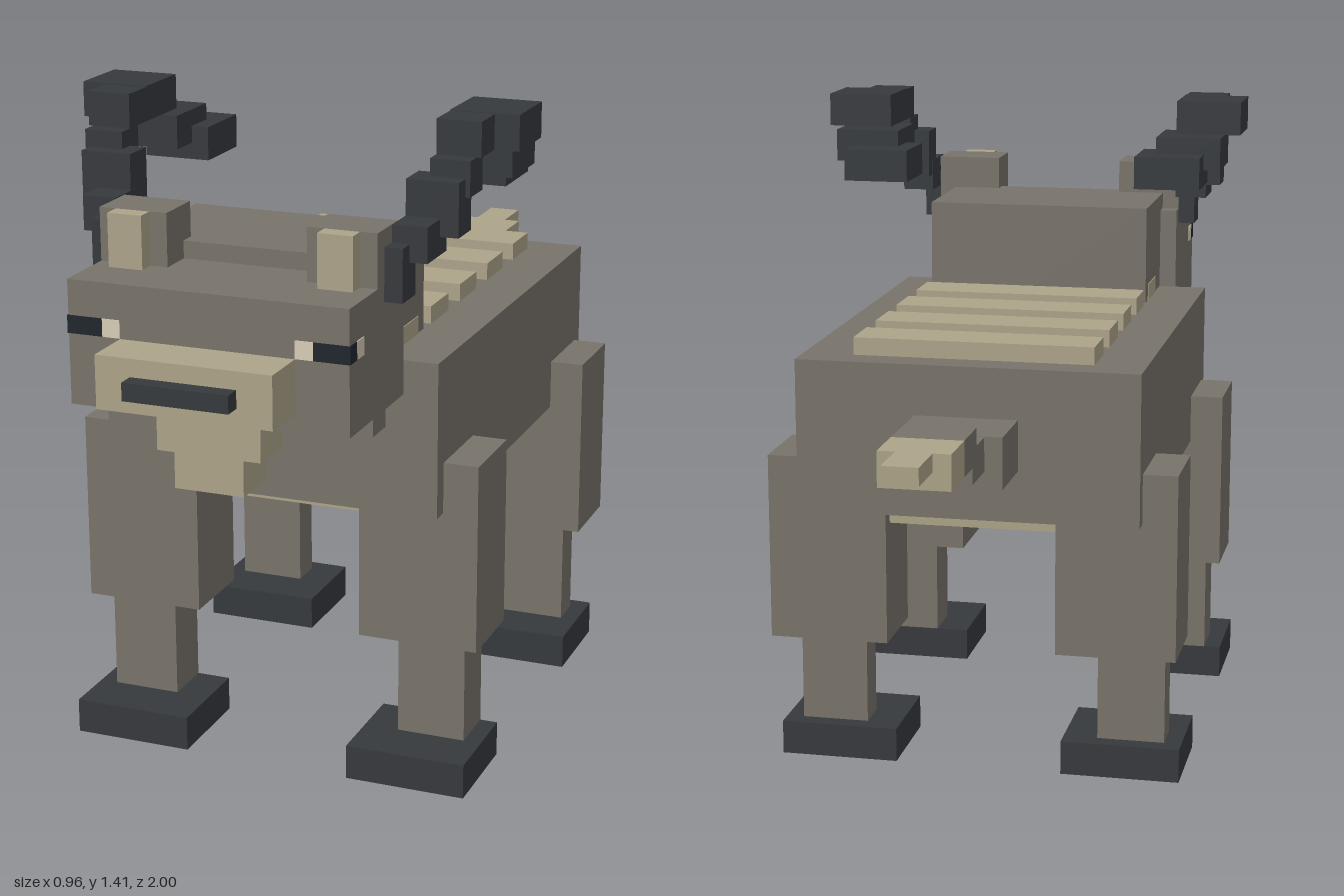
import * as THREE from 'three';

const paint = (color) => new THREE.MeshStandardMaterial({ color, flatShading: true });

export function createModel() {
  const model = new THREE.Group();
  model.name = 'hornedGoat';
  const fur = paint(0x78736a), tan = paint(0xaca388), dark = paint(0x36393d);
  const pupil = paint(0x20262e), eyeLight = paint(0xd6ccb6);

  // Box from its minimum and maximum corners
  function box(parent, name, mat, [x0, x1], [y0, y1], [z0, z1]) {
    const mesh = new THREE.Mesh(new THREE.BoxGeometry(x1 - x0, y1 - y0, z1 - z0), mat);
    mesh.position.set((x0 + x1) / 2, (y0 + y1) / 2, (z0 + z1) / 2);
    mesh.name = name;
    parent.add(mesh);
  }
  // Box centred on x = 0
  const mid = (parent, name, mat, w, y, z) => box(parent, name, mat, [-w, w], y, z);
  // Mirrored pair of boxes, x given for the left side
  function pair(parent, name, mat, [x0, x1], y, z) {
    box(parent, name + 'Left', mat, [x0, x1], y, z);
    box(parent, name + 'Right', mat, [-x1, -x0], y, z);
  }
  function part(name) {
    const g = new THREE.Group();
    g.name = name;
    model.add(g);
    return g;
  }

  // Body, belly and back stripes
  const body = part('body');
  mid(body, 'torso', fur, 0.37, [0.597, 0.927], [-0.44, 0.557]);
  mid(body, 'belly', tan, 0.333, [0.56, 0.597], [-0.37, 0.48]);
  for (let i = 0; i < 5; i++) {
    const z = -0.371 + i * 0.1855;
    mid(body, 'backStripe', tan, 0.26, [0.927, 0.965], [z, z + 0.11]);
  }

  // Legs with hooves
  const legs = part('legs');
  const legSets = [
    ['front', [0.336, 0.52], [0.373, 0.483], [0.373, 0.595]],
    ['rear', [-0.405, -0.22], [-0.297, -0.222], [-0.335, -0.113]],
  ];
  for (const [end, thighZ, shinZ, hoofZ] of legSets) {
    pair(legs, end + 'Thigh', fur, [0.185, 0.445], [0.298, 0.706], thighZ);
    pair(legs, end + 'Shin', fur, [0.26, 0.408], [0.074, 0.298], shinZ);
    pair(legs, end + 'Hoof', dark, [0.185, 0.446], [0, 0.075], hoofZ);
  }

  // Neck, head, muzzle and beard
  const head = part('head');
  mid(head, 'neck', fur, 0.258, [0.782, 1.15], [0.336, 0.63]);
  mid(head, 'skull', fur, 0.297, [0.856, 1.113], [0.56, 0.853]);
  mid(head, 'muzzle', tan, 0.185, [0.892, 1.002], [0.853, 0.963]);
  mid(head, 'nose', dark, 0.111, [0.928, 0.965], [0.963, 1]);
  mid(head, 'beardUpper', tan, 0.111, [0.782, 0.856], [0.742, 0.853]);
  mid(head, 'beardLower', tan, 0.074, [0.707, 0.782], [0.742, 0.853]);

  // Eyes wrap around the front corners of the head
  const eyeY = [1.003, 1.04];
  pair(head, 'pupil', pupil, [0.223, 0.299], eyeY, [0.819, 0.855]);
  pair(head, 'eyeInner', eyeLight, [0.185, 0.223], eyeY, [0.819, 0.855]);
  pair(head, 'eyeOuter', eyeLight, [0.223, 0.299], eyeY, [0.782, 0.819]);

  // Ears
  pair(head, 'ear', fur, [0.15, 0.297], [1.113, 1.224], [0.595, 0.706]);
  pair(head, 'earInner', tan, [0.187, 0.261], [1.113, 1.224], [0.706, 0.744]);

  // Horns curving up, out and back, from base to tip
  const horns = part('horns');
  const hornSteps = [
    [[0.262, 0.335], [1.078, 1.188], [0.597, 0.67]],
    [[0.299, 0.372], [1.152, 1.225], [0.522, 0.633]],
    [[0.3, 0.41], [1.189, 1.3], [0.485, 0.56]],
    [[0.336, 0.42], [1.263, 1.336], [0.447, 0.522]],
    [[0.336, 0.43], [1.336, 1.408], [0.405, 0.485]],
    [[0.336, 0.482], [1.336, 1.41], [0.26, 0.405]],
    [[0.3, 0.446], [1.264, 1.336], [0.186, 0.335]],
    [[0.262, 0.409], [1.228, 1.3], [0.113, 0.262]],
  ];
  hornSteps.forEach((s, i) => pair(horns, 'hornStep' + (i + 1), dark, ...s));

  // Tail with pale end
  const tail = part('tail');
  mid(tail, 'tailRoot', fur, 0.111, [0.708, 0.818], [-0.593, -0.44]);
  mid(tail, 'tailMiddle', fur, 0.073, [0.745, 0.817], [-0.704, -0.593]);
  mid(tail, 'tailRise', fur, 0.074, [0.781, 0.855], [-0.778, -0.667]);
  mid(tail, 'tailTuft', tan, 0.074, [0.781, 0.855], [-0.889, -0.778]);
  mid(tail, 'tailTip', tan, 0.037, [0.818, 0.855], [-1, -0.889]);

  return model;
}
